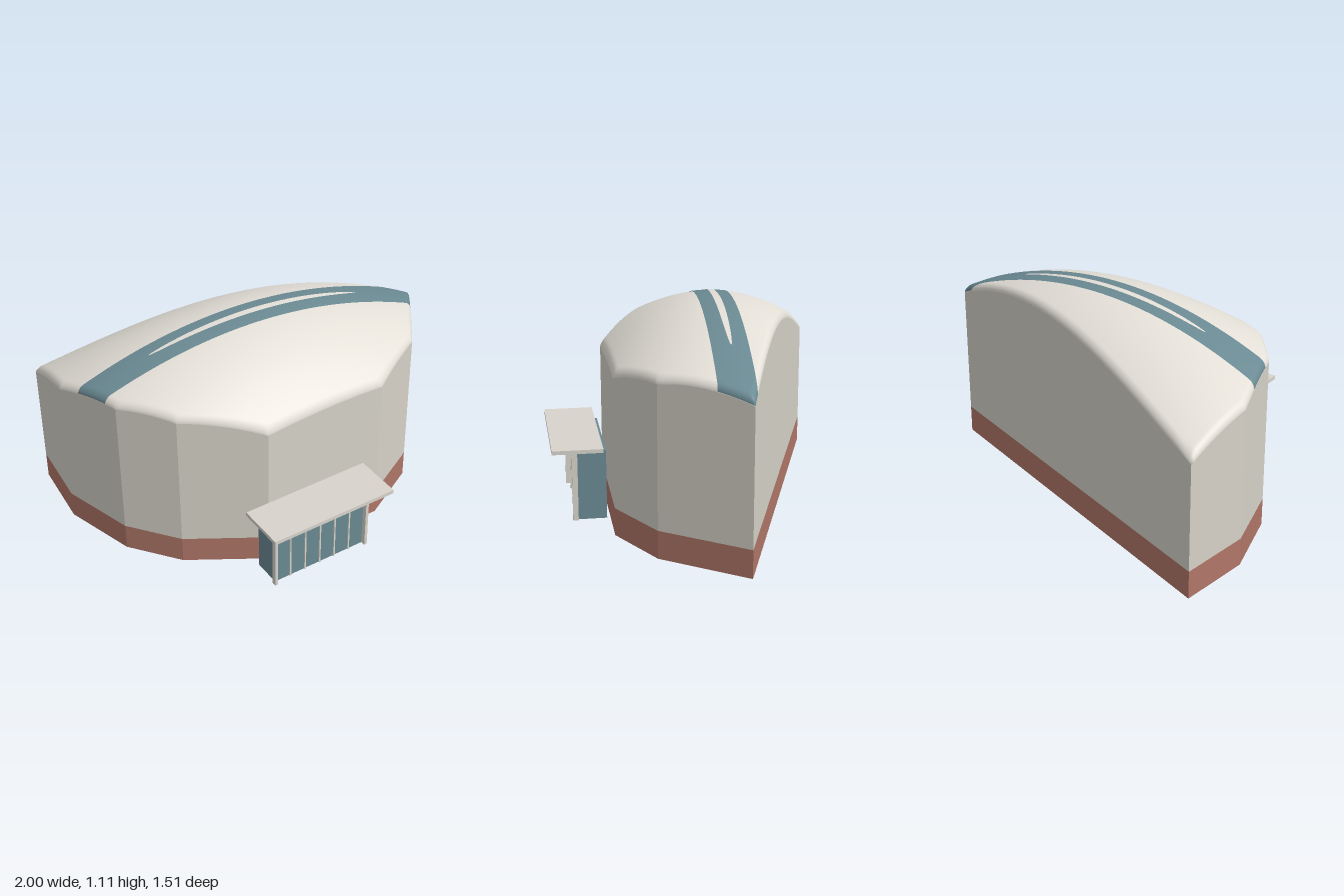
import * as THREE from 'three';
import { ParametricGeometry } from 'three/addons/geometries/ParametricGeometry.js';

// Footprint corners (x, z), running left to right along the front
const PLAN = [
  [-1, -0.375], [-0.86, 0], [-0.65, 0.235], [-0.26, 0.44],
  [0.42, 0.395], [0.73, 0.2], [1, -0.225], [-0.99, -0.757],
];
const SIDES = PLAN.length;
const CENTRE_Z = -0.16;
const RIM = 0.03;
const PLINTH = 0.145;

const mat = (color, side = THREE.FrontSide) =>
  new THREE.MeshStandardMaterial({ color, side });

// Height of the double-curved roof, before its edge is rounded
function domeY(x, z) {
  const dz = z - CENTRE_Z;
  return 0.57 + 0.53 * (1 - 0.43 * x * x) * (1 - 1.39 * dz * dz);
}

// Distance from a point inside the plan to the nearest wall
function wallDistance(x, z) {
  let best = Infinity;
  PLAN.forEach(([ax, az], i) => {
    const [bx, bz] = PLAN[(i + 1) % SIDES];
    const ex = bx - ax, ez = bz - az;
    const d = Math.abs((x - ax) * ez - (z - az) * ex) / Math.hypot(ex, ez);
    best = Math.min(best, d);
  });
  return best;
}

// Roof height with a quarter-round rim that meets the wall
function roofY(x, z) {
  const k = RIM - Math.min(wallDistance(x, z), RIM);
  return domeY(x, z) - (RIM - Math.sqrt(Math.max(0, RIM * RIM - k * k)));
}

// Point on the perimeter, u from 0 to 1
function perimeter(u) {
  const i = Math.min(Math.floor(u * SIDES), SIDES - 1);
  const f = u * SIDES - i;
  const a = PLAN[i], b = PLAN[(i + 1) % SIDES];
  return [a[0] + (b[0] - a[0]) * f, a[1] + (b[1] - a[1]) * f];
}

// Left and right limits of the plan at a given z
function spanAt(z) {
  const xs = [];
  PLAN.forEach(([ax, az], i) => {
    const [bx, bz] = PLAN[(i + 1) % SIDES];
    if ((az <= z) !== (bz <= z)) xs.push(ax + (bx - ax) * (z - az) / (bz - az));
  });
  return [Math.min(...xs), Math.max(...xs)];
}

function surface(name, fn, slices, stacks, material) {
  const geo = new ParametricGeometry(fn, slices, stacks);
  geo.computeVertexNormals();
  const mesh = new THREE.Mesh(geo, material);
  mesh.name = name;
  return mesh;
}

function box(name, w, h, d, x, y, z, material) {
  const mesh = new THREE.Mesh(new THREE.BoxGeometry(w, h, d), material);
  mesh.position.set(x, y, z);
  mesh.name = name;
  return mesh;
}

export function createModel() {
  const model = new THREE.Group();
  model.name = 'domedHall';
  const wallMat = mat(0xd6d2c8, THREE.DoubleSide);
  const roofMat = mat(0xe4e0d8, THREE.DoubleSide);
  const glassMat = mat(0x6b8a93, THREE.DoubleSide);
  const trimMat = mat(0xd8d4cc);

  // Plinth
  const shape = new THREE.Shape(PLAN.map(([x, z]) => new THREE.Vector2(x, -z)));
  const plinthGeo = new THREE.ExtrudeGeometry(shape, { depth: PLINTH, bevelEnabled: false });
  plinthGeo.rotateX(-Math.PI / 2);
  const plinth = new THREE.Mesh(plinthGeo, mat(0xb07668));
  plinth.name = 'plinth';
  model.add(plinth);

  // Walls: one flat panel per side, its top following the roof curve
  const walls = new THREE.Group();
  walls.name = 'walls';
  for (let i = 0; i < SIDES; i++) {
    walls.add(surface('wallPanel', (u, v, p) => {
      const [x, z] = perimeter((i + u * 0.999999) / SIDES);
      p.set(x, PLINTH + (domeY(x, z) - RIM - PLINTH) * v, z);
    }, 24, 1, wallMat));
  }
  model.add(walls);

  // Roof: rings shrinking from the perimeter to the crown
  model.add(surface('roof', (u, v, p) => {
    const s = 1 - v * v;
    const [ex, ez] = perimeter(u);
    const x = ex * s, z = CENTRE_Z + (ez - CENTRE_Z) * s;
    p.set(x, roofY(x, z), z);
  }, SIDES * 20, 40, roofMat));

  // Coloured band across the crown
  model.add(surface('roofBand', (u, v, p) => {
    const z = -0.065 - 0.18 * v;
    const [l, r] = spanAt(z);
    const x = (l + r) / 2 + (r - l) / 2 * Math.sin((u - 0.5) * Math.PI);
    p.set(x, roofY(x, z) + 0.003, z);
  }, 96, 18, glassMat));

  // Slim lens-shaped inset in the band
  model.add(surface('bandInset', (u, v, p) => {
    const a = (u - 0.5) * Math.PI;
    const x = 0.6 * Math.sin(a);
    const z = CENTRE_Z + 0.019 * Math.cos(a) * (1 - 2 * v);
    p.set(x, domeY(x, z) + 0.006, z);
  }, 60, 2, roofMat));

  // Entrance, square to the front wall
  const entrance = new THREE.Group();
  entrance.name = 'entrance';
  entrance.position.set(-0.063, 0, 0.427);
  entrance.rotation.y = 0.066;
  entrance.add(box('glassPorch', 0.54, 0.37, 0.15, 0, 0.195, 0.095, glassMat));
  entrance.add(box('canopy', 0.71, 0.02, 0.26, 0, 0.405, 0.17, trimMat));
  for (const s of [-1, 1]) {
    entrance.add(box('post', 0.016, 0.37, 0.028, s * 0.277, 0.195, 0.182, trimMat));
  }
  for (let i = -2; i <= 2; i++) {
    entrance.add(box('mullion', 0.008, 0.37, 0.01, i * 0.09, 0.195, 0.172, trimMat));
  }
  model.add(entrance);

  return model;
}
